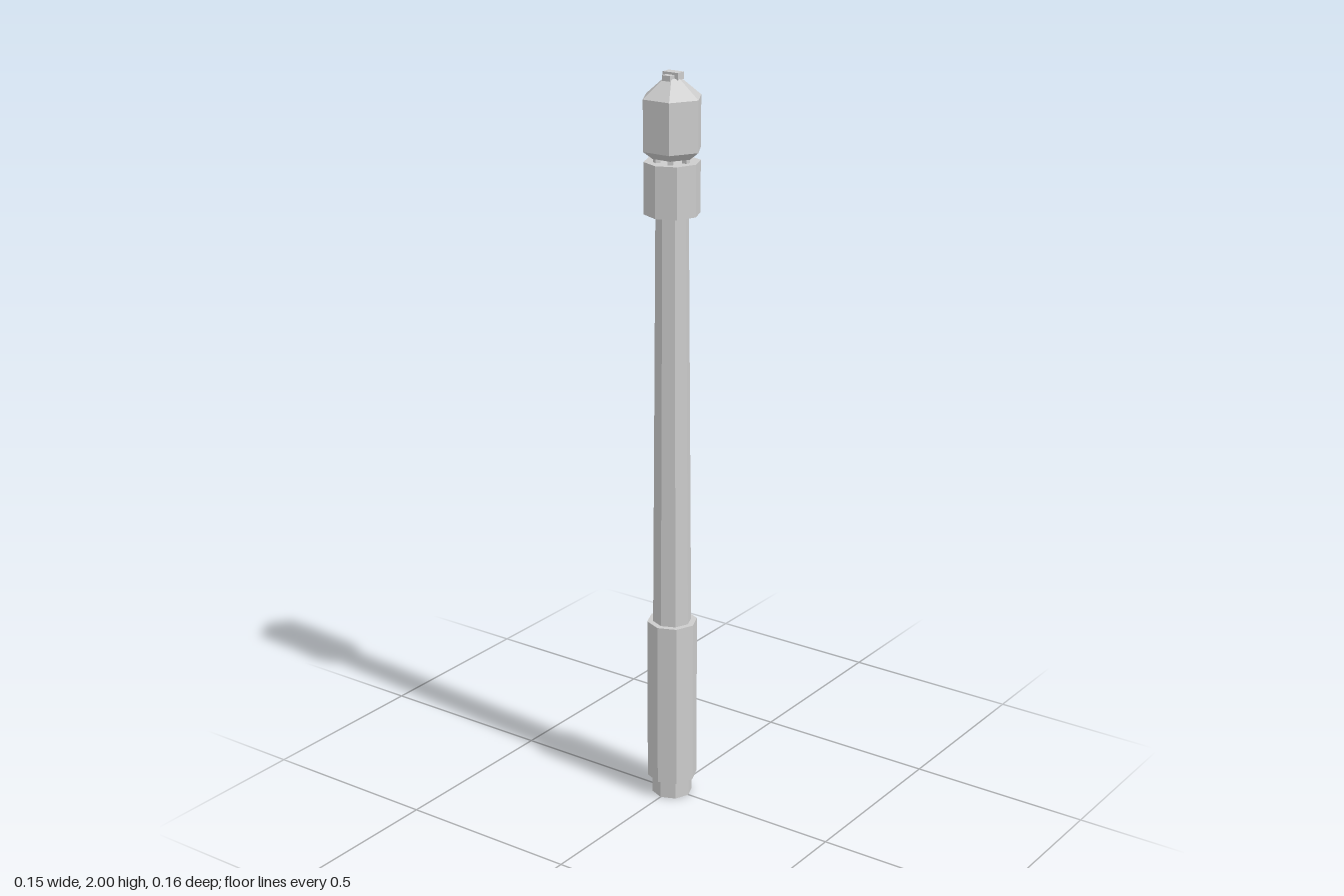
import * as THREE from 'three';

export function createModel() {
  const model = new THREE.Group();
  const grey = new THREE.MeshStandardMaterial({ color: 0xcccccc });
  grey.name = 'pale grey';

  const add = (name, geometry, x = 0, y = 0, z = 0) => {
    const flat = geometry.toNonIndexed();
    flat.computeVertexNormals();
    const mesh = new THREE.Mesh(flat, grey);
    mesh.name = name;
    mesh.position.set(x, y, z);
    model.add(mesh);
    return mesh;
  };
  // Faceted column section between two heights
  const prism = (name, sides, y0, y1, r0, r1 = r0) =>
    add(name, new THREE.CylinderGeometry(r1, r0, y1 - y0, sides), 0, (y0 + y1) / 2, 0);

  // Octagonal handle and shaft
  prism('pommel', 8, 0, 0.055, 0.055);
  prism('grip', 8, 0.052, 0.515, 0.068);
  prism('shaft', 8, 0.51, 1.65, 0.052, 0.043);
  prism('collar', 8, 1.64, 1.775, 0.073);

  // Hexagonal head
  prism('headUnderside', 6, 1.785, 1.805, 0.054, 0.08);
  prism('headBody', 6, 1.805, 1.937, 0.08);
  prism('headRoof', 6, 1.937, 1.985, 0.08, 0.022);

  // Small prongs holding the head above the collar
  for (let i = 0; i < 6; i++) {
    const a = (i / 6) * Math.PI * 2;
    const prong = add('prong', new THREE.BoxGeometry(0.014, 0.03, 0.014),
      Math.sin(a) * 0.042, 1.783, Math.cos(a) * 0.042);
    prong.rotation.y = a;
  }

  // Finial of small blocks
  add('finialBlock', new THREE.BoxGeometry(0.026, 0.018, 0.046), 0.005, 1.991, 0);
  add('finialTab', new THREE.BoxGeometry(0.018, 0.014, 0.025), -0.017, 1.987, 0);
  return model;
}
